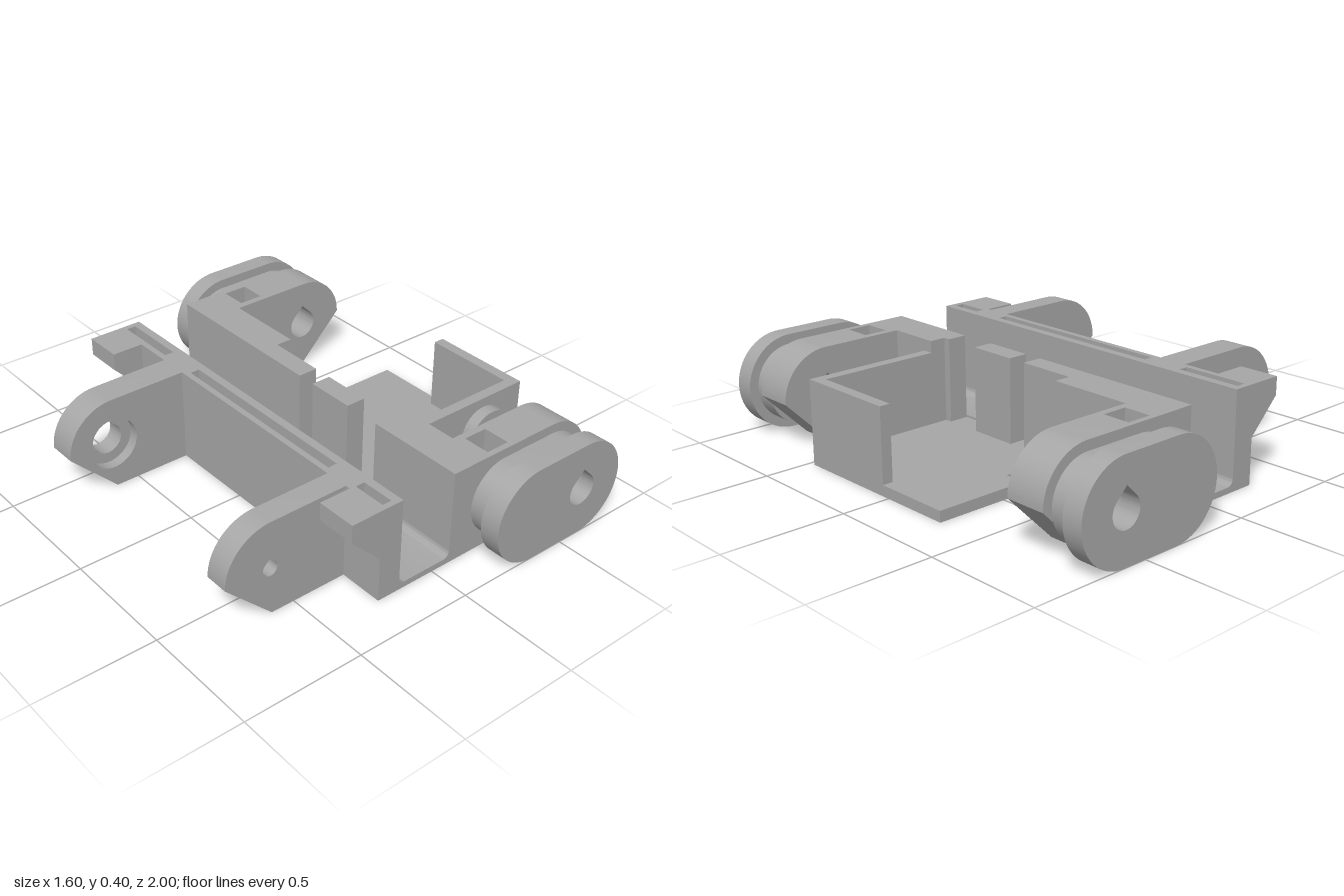
import * as THREE from 'three';
import { toCreasedNormals } from 'three/addons/utils/BufferGeometryUtils.js';

export function createModel() {
  const model = new THREE.Group();
  model.name = 'motorBracket';
  const grey = new THREE.MeshStandardMaterial({ color: 0xa6a6a6 });
  grey.name = 'plain grey';

  const add = (name, geometry) => {
    const mesh = new THREE.Mesh(geometry, grey);
    mesh.name = name;
    model.add(mesh);
    return mesh;
  };
  const box = (name, x0, x1, y0, y1, z0, z1) =>
    add(name, new THREE.BoxGeometry(x1 - x0, y1 - y0, z1 - z0)
      .translate((x0 + x1) / 2, (y0 + y1) / 2, (z0 + z1) / 2));
  // Side profile in x, y pushed along z
  const extrude = (name, shape, z0, z1) =>
    add(name, toCreasedNormals(new THREE.ExtrudeGeometry(shape,
      { depth: z1 - z0, bevelEnabled: false, curveSegments: 24 }).translate(0, 0, z0), 0.5));
  const poly = (pts) => new THREE.Shape(pts.map(([x, y]) => new THREE.Vector2(x, y)));
  const rect = (x0, x1, z0, z1) => poly([[x0, -z1], [x1, -z1], [x1, -z0], [x0, -z0]]);
  // Plan shape in x, z pushed upward, with rectangular pockets
  const slab = (name, outline, pockets, y0, y1) => {
    outline.holes = pockets.map((p) => rect(...p));
    add(name, new THREE.ExtrudeGeometry(outline, { depth: y1 - y0, bevelEnabled: false })
      .rotateX(-Math.PI / 2).translate(0, y0, 0));
  };
  // Round hole with a pointed roof
  const teardrop = (x, y, r) => {
    const p = new THREE.Path();
    p.moveTo(x, y + r * 1.41);
    p.lineTo(x - r * 0.707, y + r * 0.707);
    p.absarc(x, y, r, Math.PI * 0.75, Math.PI * 2.25, false);
    p.closePath();
    return p;
  };
  const disc = (x, y, r) => new THREE.Path().absarc(x, y, r, 0, Math.PI * 2, false);
  // Rounded arm with a chamfered underside, pointing to +x (s = 1) or -x (s = -1)
  const arm = (s, root, hole) => {
    const a = new THREE.Shape();
    a.moveTo(s * root, 0);
    a.lineTo(s * 0.6, 0);
    a.lineTo(s * 0.8, 0.2);
    a.absarc(s * 0.6, 0.2, 0.2, s > 0 ? 0 : Math.PI, Math.PI / 2, s < 0);
    a.lineTo(s * root, 0.4);
    a.closePath();
    a.holes.push(hole);
    return a;
  };
  const stadium = (r) => {
    const p = new THREE.Shape();
    p.absarc(0.6, 0.2, r, -Math.PI / 2, Math.PI / 2, false);
    p.absarc(0.345, 0.2, r, Math.PI / 2, Math.PI * 1.5, false);
    p.closePath();
    p.holes.push(teardrop(0.595, 0.2, 0.065));
    return p;
  };

  // Channel floor with rounded inner corners
  const floor = poly([[-0.165, 0], [0.085, 0], [0.085, 0.055]]);
  floor.absarc(0.055, 0.055, 0.03, 0, -Math.PI / 2, true);
  floor.lineTo(-0.135, 0.025);
  floor.absarc(-0.135, 0.055, 0.03, -Math.PI / 2, -Math.PI, true);
  floor.closePath();
  extrude('channelFloor', floor, -0.825, 0.825);

  // Left channel wall with slots in its top
  box('slottedWallBase', -0.265, -0.165, 0, 0.1, -0.825, 0.825);
  slab('slottedWall', rect(-0.265, -0.165, -0.825, 0.825),
    [[-0.24, -0.2, -0.8, -0.52], [-0.24, -0.2, -0.34, 0.51], [-0.24, -0.2, 0.66, 0.8]], 0.1, 0.4);

  // Right channel wall: thin parts and post beside the motor bay
  box('bayWall', 0.085, 0.17, 0, 0.4, -0.3, -0.05);
  box('bayPost', 0.085, 0.17, 0, 0.4, 0.03, 0.24);
  box('bayWallEnd', 0.085, 0.17, 0, 0.4, 0.4, 0.43);
  box('gapFloor', 0.085, 0.17, 0, 0.045, -0.05, 0.03);
  box('gapFloor', 0.085, 0.17, 0, 0.045, 0.24, 0.4);

  // Both ends: wall block, arm, grooved pulley and overhanging tab
  for (const s of [1, -1]) {
    const span = (a, b) => (s > 0 ? [a, b] : [-b, -a]);
    const inner = s > 0 ? 0.43 : 0.3;
    const block = () => {
      const pts = [[0.085, inner], [0.24, inner], [0.24, 0.655], [0.38 + 0.02, 0.655], [0.4, 0.825], [0.085, 0.825]];
      return poly(pts.map(([x, z]) => [x, -s * z]));
    };
    slab('endBlockBase', block(), [], 0, 0.15);
    slab('endBlock', block(), [[0.275, 0.38, ...span(0.685, 0.8)]], 0.15, 0.4);
    extrude('pulleyArm', arm(1, 0.4, teardrop(0.595, 0.2, 0.065)), ...span(0.655, 0.825));
    extrude('pulleyGroove', stadium(0.16), ...span(0.825, 0.915));
    extrude('pulleyFlange', stadium(0.2), ...span(0.915, 1));
    extrude('endTab', poly([[-0.265, 0.19], [-0.265, 0.4], [-0.4, 0.4], [-0.4, 0.325]]), ...span(0.655, 0.825));
  }

  // Pivot lugs; the rear one has a wide bore with a counterbore
  extrude('frontLug', arm(-1, 0.265, teardrop(-0.605, 0.2, 0.032)), 0.535, 0.635);
  extrude('rearLug', arm(-1, 0.265, teardrop(-0.605, 0.2, 0.065)), -0.49, -0.41);
  extrude('rearLugCounterbore', arm(-1, 0.265, disc(-0.605, 0.2, 0.11)), -0.41, -0.365);

  // Motor bay: floor with a shallow pocket below, side wall and front plate
  slab('bayFloorRim', rect(0.17, 0.8, -0.3, 0.43),
    [[0.33, 0.405, -0.27, -0.21], [0.45, 0.76, -0.27, 0.4]], 0, 0.025);
  slab('bayFloor', rect(0.17, 0.8, -0.3, 0.43), [[0.33, 0.405, -0.27, -0.21]], 0.025, 0.045);
  box('baySideWall', 0.755, 0.8, 0.045, 0.35, 0.03, 0.43);
  const plate = poly([[0.17, 0], [0.8, 0], [0.8, 0.35], [0.17, 0.35]]);
  plate.holes.push(teardrop(0.595, 0.2, 0.022));
  extrude('bayFrontPlate', plate, 0.43, 0.475);

  // Shaft boss carried down to the ground
  const boss = poly([[0.485, 0], [0.705, 0]]);
  boss.absarc(0.595, 0.2, 0.11, 0, Math.PI, false);
  boss.closePath();
  boss.holes.push(teardrop(0.595, 0.2, 0.022));
  extrude('shaftBoss', boss, 0.475, 0.525);

  return model;
}
